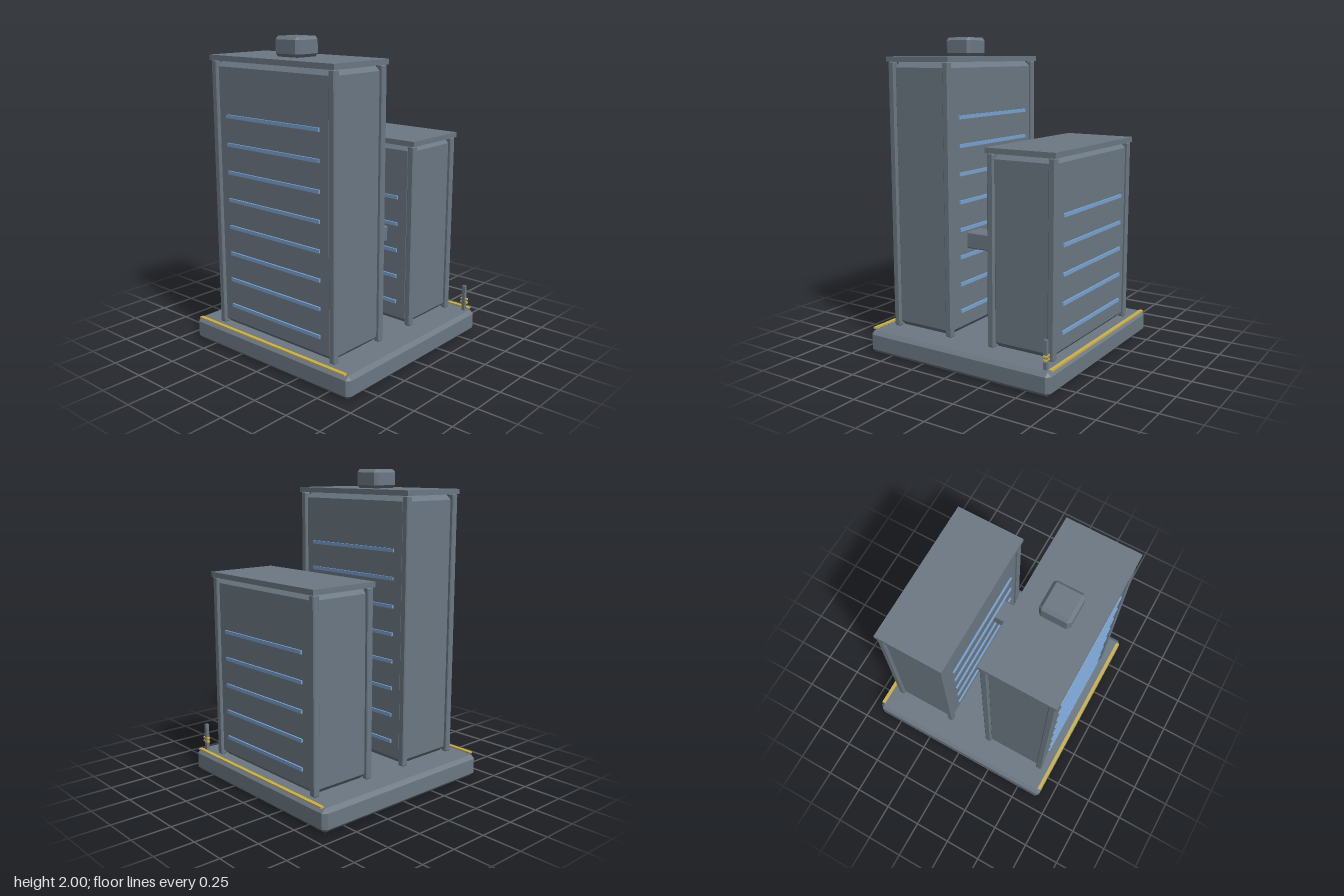
import * as THREE from 'three';
import { ConvexGeometry } from 'three/addons/geometries/ConvexGeometry.js';

export function createModel() {
  const model = new THREE.Group();
  model.name = 'twinTowerBlock';

  const material = (name, color) => {
    const m = new THREE.MeshStandardMaterial({ color });
    m.name = name;
    return m;
  };
  const concrete = material('slateGrey', 0x6c7883);
  const glass = material('windowBlue', 0x78a2d0);
  const yellow = material('trimYellow', 0xcbb04a);

  // Box with every edge chamfered by c
  function chamferBox(w, h, d, c) {
    const points = [];
    for (const sx of [-1, 1]) for (const sy of [-1, 1]) for (const sz of [-1, 1]) {
      const x = sx * w / 2, y = sy * h / 2, z = sz * d / 2;
      points.push(
        new THREE.Vector3(x, y - sy * c, z - sz * c),
        new THREE.Vector3(x - sx * c, y, z - sz * c),
        new THREE.Vector3(x - sx * c, y - sy * c, z));
    }
    return new ConvexGeometry(points);
  }

  // Adds a block given by its extents along x, y and z
  function block(parent, name, mat, [x0, x1], [y0, y1], [z0, z1], chamfer = 0) {
    const w = x1 - x0, h = y1 - y0, d = z1 - z0;
    const geometry = chamfer ? chamferBox(w, h, d, chamfer) : new THREE.BoxGeometry(w, h, d);
    const mesh = new THREE.Mesh(geometry, mat);
    mesh.name = name;
    mesh.position.set((x0 + x1) / 2, (y0 + y1) / 2, (z0 + z1) / 2);
    parent.add(mesh);
  }

  // Tower: body, corner columns, flat roof, window bands on front and back
  function tower(name, z, top, rows) {
    const group = new THREE.Group();
    group.name = name;
    group.position.z = z;
    model.add(group);
    block(group, 'body', concrete, [-0.48, 0.48], [0.145, top], [-0.217, 0.217], 0.035);
    block(group, 'roof', concrete, [-0.505, 0.505], [top, top + 0.033], [-0.237, 0.237]);
    for (const sx of [-1, 1]) for (const sz of [-1, 1]) {
      const cx = sx * 0.476, cz = sz * 0.208;
      block(group, 'cornerColumn', concrete, [cx - 0.022, cx + 0.022], [0.145, top],
        [cz - 0.022, cz + 0.022], 0.006);
    }
    for (let i = 0; i < rows; i++) for (const sz of [-1, 1]) {
      const y = 0.285 + i * 0.1755, cz = sz * 0.219;
      block(group, 'windowBand', glass, [-0.38, 0.38], [y - 0.011, y + 0.011], [cz - 0.009, cz + 0.009]);
    }
  }

  // Plinth
  block(model, 'base', concrete, [-0.665, 0.665], [0, 0.145], [-0.665, 0.665], 0.024);

  tower('tallTower', 0.367, 1.847, 8);
  tower('shortTower', -0.367, 1.328, 5);

  // Link between the towers and the rooftop plant room
  block(model, 'skyBridge', concrete, [0.152, 0.297], [0.68, 0.785], [-0.16, 0.16], 0.007);
  block(model, 'rooftopUnit', concrete, [-0.097, 0.097], [1.88, 2], [0.267, 0.459], 0.019);

  // Edge strips along the front and back of the plinth
  for (const s of [-1, 1]) {
    const z = s * 0.652;
    block(model, 'edgeStrip', yellow, [-0.63, 0.63], [0.146, 0.157], [z - 0.012, z + 0.012]);
  }

  // Signpost with two small yellow crossbars
  block(model, 'post', concrete, [0.598, 0.62], [0.14, 0.32], [-0.622, -0.6]);
  for (const y of [0.202, 0.225]) {
    block(model, 'crossbar', yellow, [0.584, 0.634], [y - 0.006, y + 0.006], [-0.624, -0.604]);
  }

  return model;
}
